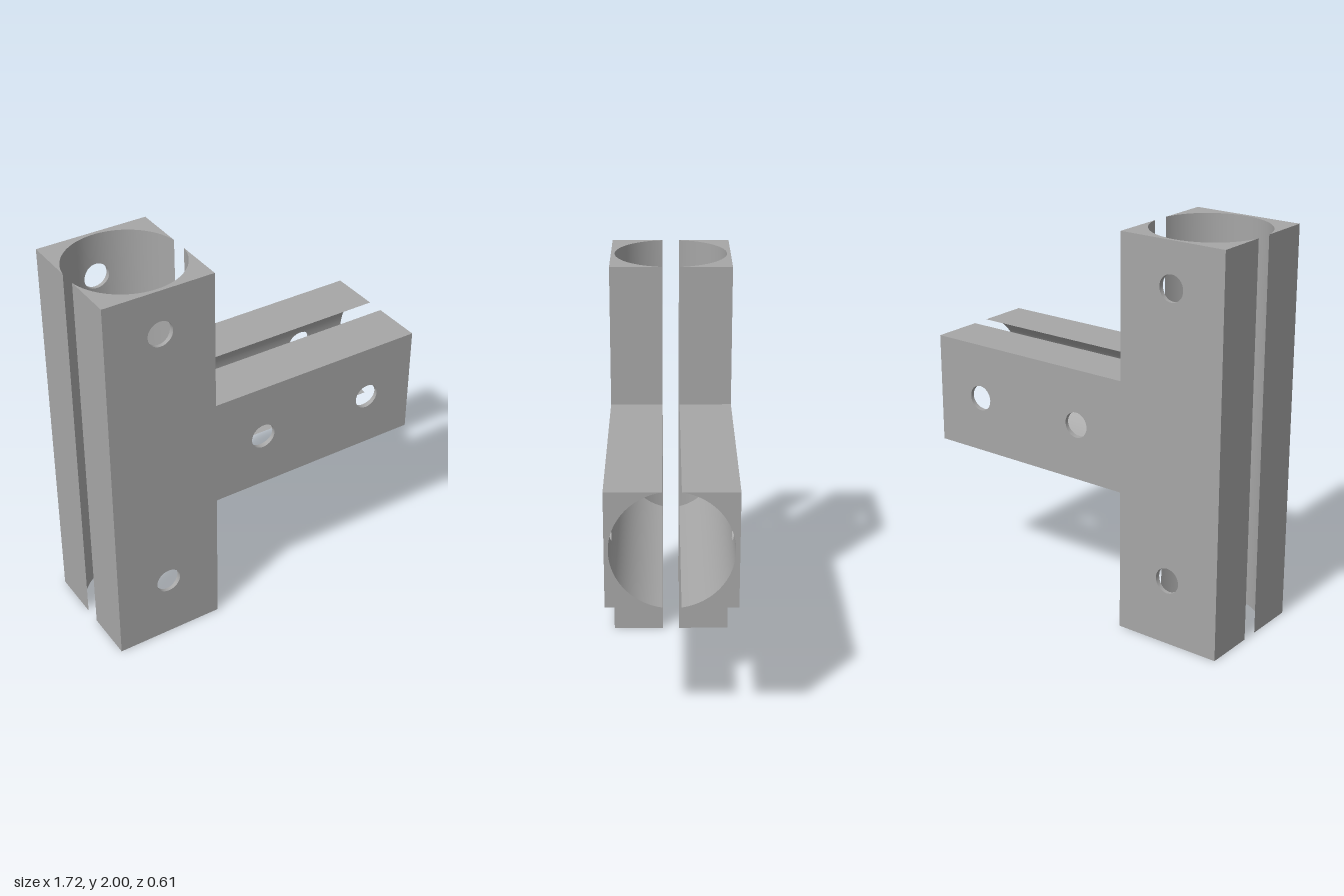
import * as THREE from 'three';
import { toCreasedNormals } from 'three/addons/utils/BufferGeometryUtils.js';

const X = 0.86, H = 2, Z = 0.305;      // half length, height, half depth
const h = 0.2825, gap = 0.0435;        // half width of a leg, half of the slot
const R = Math.hypot(h, gap);          // bore radius
const xc = -X + h, yc = 1.002;         // axes of upright and arm
const r = 0.065;                       // bolt hole radius
const uprightHoles = [0.335, 1.78], armHoles = [-0.027, 0.593];

// Sample offsets across a bore, denser where the bolt holes are
function bandOffsets() {
  const ds = [], a = Math.asin(h / R);
  for (let i = 0; i <= 48; i++) {
    const d = i === 0 ? -h : i === 48 ? h : R * Math.sin(-a + (2 * a * i) / 48);
    if (Math.abs(d) > r + 0.003) ds.push(d);
  }
  for (let k = 0; k <= 16; k++) ds.push(k === 8 ? 0 : r * Math.sin(Math.PI * (k / 16 - 0.5)));
  return ds.sort((p, q) => p - q);
}

// Depth of the inner surface: the outermost of the two bores
function inner(x, y) {
  const dx = x - xc, dy = y - yc, e = h + 1e-6;
  const upright = Math.abs(dx) <= e ? Math.sqrt(R * R - dx * dx) : 0;
  const arm = dx >= 0 && Math.abs(dy) <= e ? Math.sqrt(R * R - dy * dy) : 0;
  return Math.max(upright, arm);
}

function halfShell(side) {
  const pos = [];
  const tri = (a, b, c) => {
    for (const p of side > 0 ? [a, b, c] : [a, c, b]) pos.push(p[0], p[1], p[2] * side);
  };
  const quad = (a, b, c, d) => { tri(a, b, c); tri(a, c, d); };
  const onBore = (x, y) => [x, y, inner(x, y)];
  const wall = (ax, ay, bx, by) =>
    quad(onBore(ax, ay), onBore(bx, by), [bx, by, Z], [ax, ay, Z]);

  // Bore strips, interrupted by bolt holes and by the mitre between bores
  const ds = bandOffsets();
  const w = (d) => Math.sqrt(Math.max(0, r * r - d * d));
  const uprightCuts = (d) => {
    const m = Math.max(d, 0), [a, b] = uprightHoles;
    return [0, a - w(d), a + w(d), yc - m, yc + m, b - w(d), b + w(d), H];
  };
  const armCuts = (d) => {
    const [a, b] = armHoles;
    return [xc + Math.abs(d), a - w(d), a + w(d), b - w(d), b + w(d), X];
  };
  for (let i = 0; i < ds.length - 1; i++) {
    const d = ds[i], e = ds[i + 1];
    const u = uprightCuts(d), v = uprightCuts(e);
    for (let k = 0; k < u.length; k += 2) {
      quad(onBore(xc + d, u[k]), onBore(xc + d, u[k + 1]),
        onBore(xc + e, v[k + 1]), onBore(xc + e, v[k]));
    }
    const p = armCuts(d), q = armCuts(e);
    for (let k = 0; k < p.length; k += 2) {
      quad(onBore(p[k], yc + d), onBore(q[k], yc + e),
        onBore(q[k + 1], yc + e), onBore(p[k + 1], yc + d));
    }
    // Open ends of the upright and the arm
    wall(xc + d, 0, xc + e, 0);
    wall(xc + e, H, xc + d, H);
    wall(X, yc + d, X, yc + e);
  }

  // Straight outer sides
  const xr = xc + h, lo = yc - h, hi = yc + h;
  wall(xr, 0, xr, lo);
  wall(xr, lo, X, lo);
  wall(X, hi, xr, hi);
  wall(xr, hi, xr, H);
  wall(-X, H, -X, 0);

  // Flat T face with bolt holes, and the hole walls
  const face = new THREE.Shape([
    [-X, 0], [xr, 0], [xr, lo], [X, lo], [X, hi], [xr, hi], [xr, H], [-X, H],
  ].map(([x, y]) => new THREE.Vector2(x, y)));
  const centres = [...uprightHoles.map((y) => [xc, y]), ...armHoles.map((x) => [x, yc])];
  for (const [cx, cy] of centres) {
    const ring = [];
    for (let k = 0; k < 32; k++) {
      const t = (-k * Math.PI) / 16;
      ring.push(new THREE.Vector2(cx + r * Math.cos(t), cy + r * Math.sin(t)));
    }
    face.holes.push(new THREE.Path(ring));
    ring.forEach((p, k) => {
      const q = ring[(k + 1) % 32];
      wall(p.x, p.y, q.x, q.y);
    });
  }
  const flat = new THREE.ShapeGeometry(face).toNonIndexed().getAttribute('position');
  const at = (i) => [flat.getX(i), flat.getY(i), Z];
  for (let i = 0; i < flat.count; i += 3) tri(at(i), at(i + 1), at(i + 2));

  const geometry = new THREE.BufferGeometry();
  geometry.setAttribute('position', new THREE.Float32BufferAttribute(pos, 3));
  geometry.computeVertexNormals();
  return toCreasedNormals(geometry, 0.25);
}

export function createModel() {
  const group = new THREE.Group();
  group.name = 'teeClamp';
  const grey = new THREE.MeshStandardMaterial({ color: 0xa6a6a6 });
  grey.name = 'grey';
  for (const [name, side] of [['frontHalf', 1], ['backHalf', -1]]) {
    const mesh = new THREE.Mesh(halfShell(side), grey);
    mesh.name = name;
    group.add(mesh);
  }
  return group;
}
